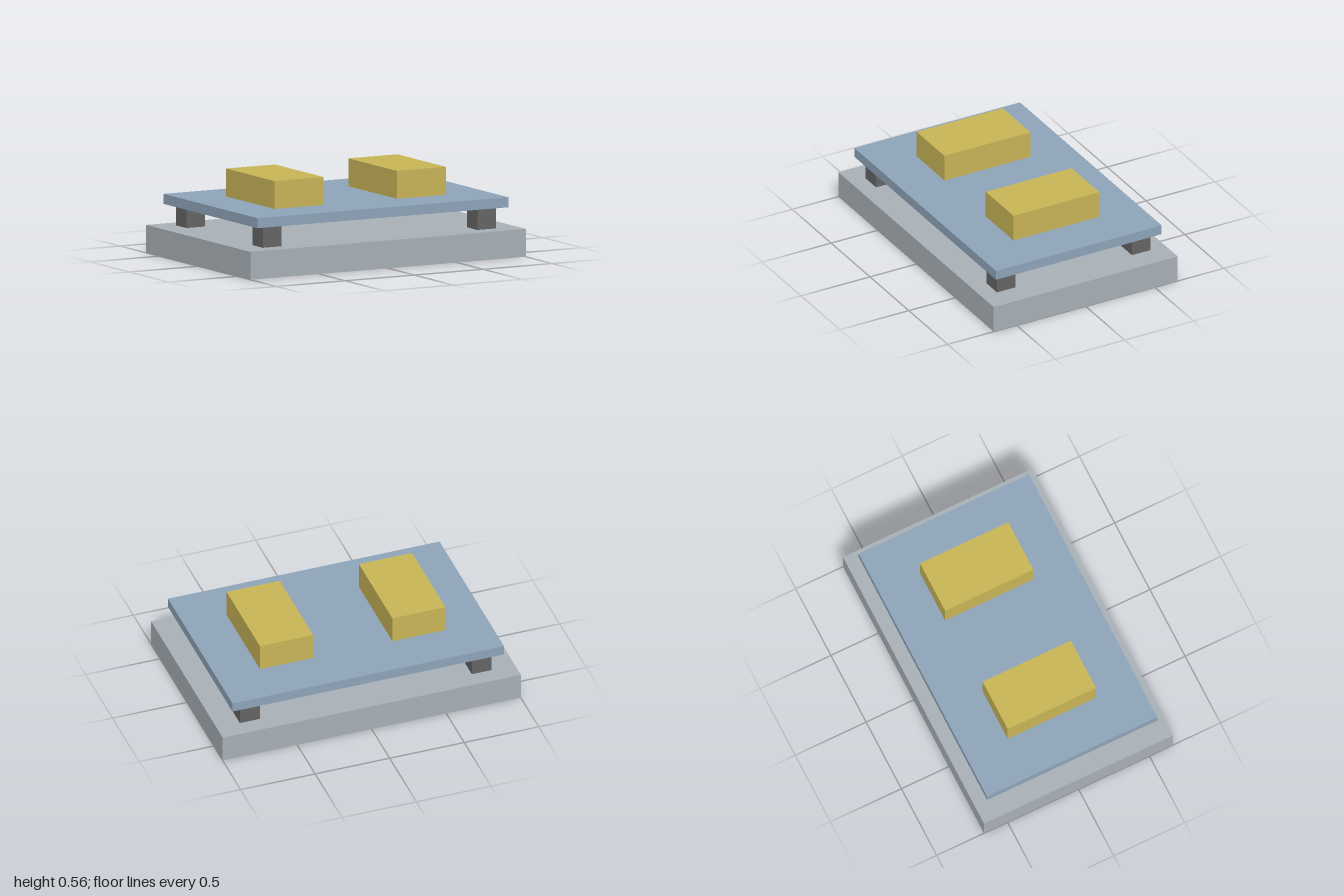
import * as THREE from 'three';

const material = (name, color) => {
  const m = new THREE.MeshStandardMaterial({ color });
  m.name = name;
  return m;
};

export function createModel() {
  const model = new THREE.Group();
  model.name = 'raisedPlatform';

  const lightGrey = material('light grey', 0xa8b0b6);
  const darkGrey = material('dark grey', 0x646464);
  const steelBlue = material('steel blue', 0x8ea4b8);
  const mustard = material('mustard yellow', 0xc8b456);

  // Box whose underside sits at the given height
  const addBox = (name, mat, [w, h, d], x, bottom, z) => {
    const mesh = new THREE.Mesh(new THREE.BoxGeometry(w, h, d), mat);
    mesh.name = name;
    mesh.position.set(x, bottom + h / 2, z);
    model.add(mesh);
  };

  // Base slab and the thinner deck above it
  addBox('base', lightGrey, [2, 0.178, 1.333], 0, 0, 0);
  addBox('deck', steelBlue, [1.822, 0.064, 1.2], 0, 0.314, 0);

  for (const side of [-1, 1]) {
    const label = side > 0 ? 'left' : 'right';

    // Block on top of the deck
    addBox(label + 'Block', mustard, [0.356, 0.178, 0.622], side * 0.444, 0.378, 0);

    // Corner posts between base and deck
    for (const end of [-1, 1]) {
      const name = label + (end > 0 ? 'Front' : 'Back') + 'Post';
      addBox(name, darkGrey, [0.133, 0.136, 0.133], side * 0.778, 0.178, end * 0.489);
    }
  }

  return model;
}
